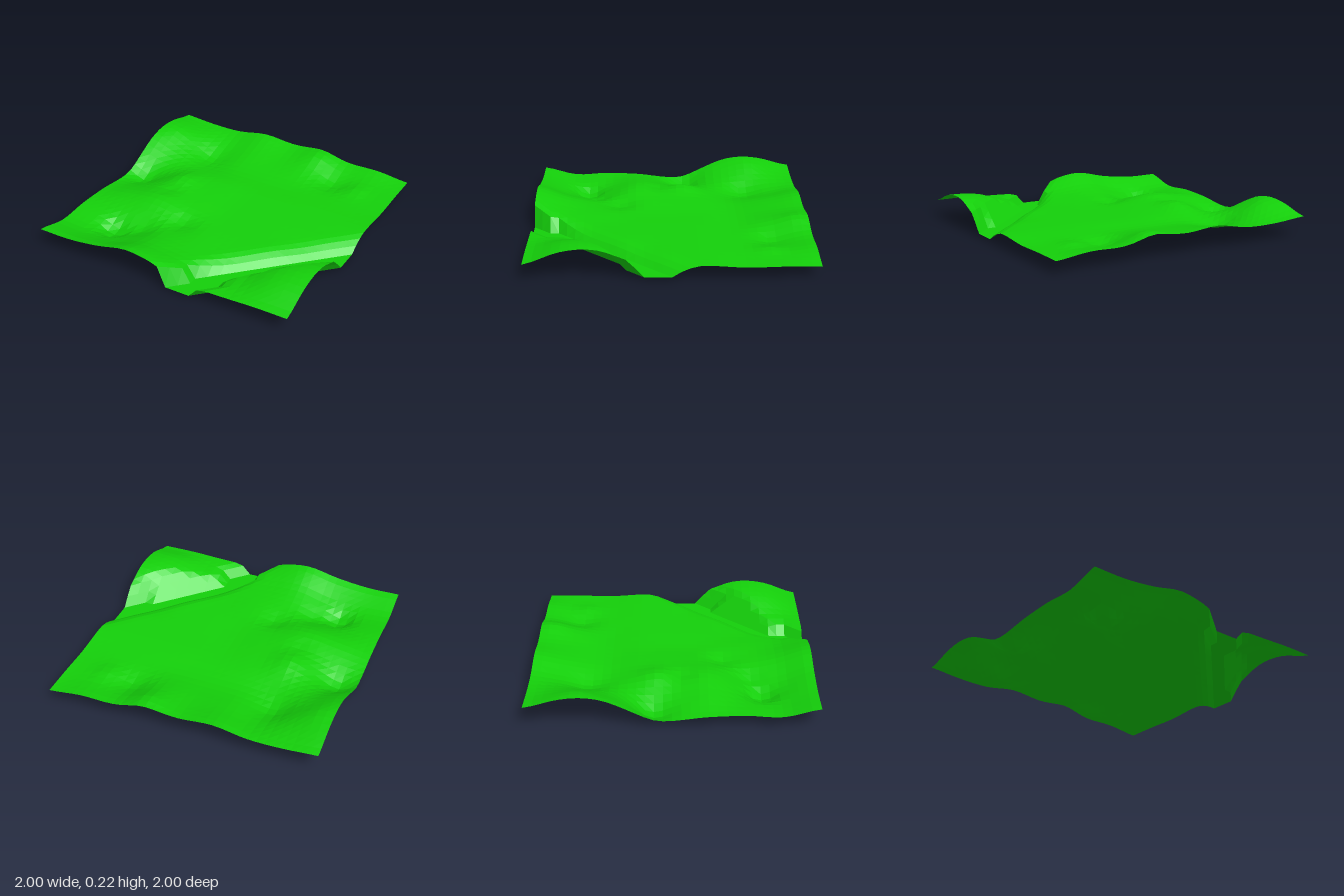
import * as THREE from 'three';

// Coarse heights in hundredths: rows run back to front, columns -x to +x
const HEIGHTS = [
  [15, 13, 13, 17, 15, 16, 12, 12, 9],
  [21, 15, 9, 12, 12, 13, 8, 9, 9],
  [21, 13, 7, 8.5, 9, 9, 9, 9, 8.5],
  [12, 8, 11, 11, 10, 10, 10, 10, 10],
  [6, 8, 13, 12, 10, 10, 10, 10, 10],
  [8, 12, 15, 12, 10, 10, 10, 10, 13],
  [9, 8, 8, 10, 11, 10, 11, 17, 21],
  [8, 7, 8, 14, 13, 11, 11, 18, 20],
  [14, 14, 17, 22, 18, 11, 11, 12, 12],
];

// Local hollows (negative) and knolls (positive): x, z, height, radius
const BUMPS = [
  [-0.87, -0.13, -0.075, 0.13],
  [-0.63, 0.62, -0.078, 0.1],
  [-0.44, 0.55, -0.03, 0.1],
  [-0.2, 0.36, -0.03, 0.1],
  [-0.55, -0.6, -0.03, 0.12],
  [0.48, -0.7, -0.02, 0.1],
  [0.7, -0.68, 0.02, 0.1],
  [0.28, -0.9, 0.025, 0.12],
  [-0.5, -0.12, 0.03, 0.12],
  [-0.5, 0.08, -0.015, 0.08],
  [-0.86, -0.65, 0.02, 0.12],
  [0.86, 0.62, 0.015, 0.2],
];

// Catmull-Rom through evenly spaced values, t from 0 to 8
function spline(values, t) {
  const i = Math.min(Math.floor(t), 7), f = t - i;
  const at = (k) => values[Math.max(0, Math.min(8, k))];
  const [a, b, c, d] = [at(i - 1), at(i), at(i + 1), at(i + 2)];
  return b + 0.5 * f * (c - a + f * (2 * a - 5 * b + 4 * c - d + f * (3 * (b - c) + d - a)));
}

function hills(x, z) {
  const u = (x + 1) * 4, v = (z + 1) * 4;
  let h = spline(HEIGHTS.map((row) => spline(row, u)), v) / 100;
  for (const [bx, bz, height, r] of BUMPS) {
    h += height * Math.exp(-((x - bx) ** 2 + (z - bz) ** 2) / (r * r));
  }
  return Math.max(0, h);
}

// Flat river bed cut diagonally across the front corner
function carve(x, z, h) {
  const bed = 0.02, s = x + z;
  const mouth = THREE.MathUtils.smoothstep(z, 0.55, 0.85);
  const near = z > 0.85 ? 1.0625 : 1;
  const far = z > 0.85 ? 1.25 : z > 0.75 || x > 0.84 ? 1.1875 : 1.125;
  // Rounded far bank, turning steep at the front mouth
  if (s < near) {
    const t = Math.min(1, (near - s) / THREE.MathUtils.lerp(0.22, 0.08, mouth));
    return bed + (h - bed) * (1 - (1 - t) ** 2);
  }
  if (s <= far) return bed;
  // Near bank, steeper at both ends of the river
  const slope = z > 0.75 || x > 0.84 ? 1.1 : 0.8;
  return Math.min(h, bed + slope * (s - far));
}

export function createModel() {
  const group = new THREE.Group();
  group.name = 'terrain';

  // Square ground sheet, 32 cells per side
  const geometry = new THREE.PlaneGeometry(2, 2, 32, 32).rotateX(-Math.PI / 2);
  const p = geometry.attributes.position;
  for (let i = 0; i < p.count; i++) {
    const x = p.getX(i), z = p.getZ(i);
    p.setY(i, carve(x, z, hills(x, z)));
  }
  const flat = geometry.toNonIndexed();
  flat.computeVertexNormals();

  const ground = new THREE.Mesh(flat, new THREE.MeshStandardMaterial({
    color: 0x14d00a, flatShading: true, side: THREE.DoubleSide,
  }));
  ground.name = 'ground';
  group.add(ground);
  return group;
}
